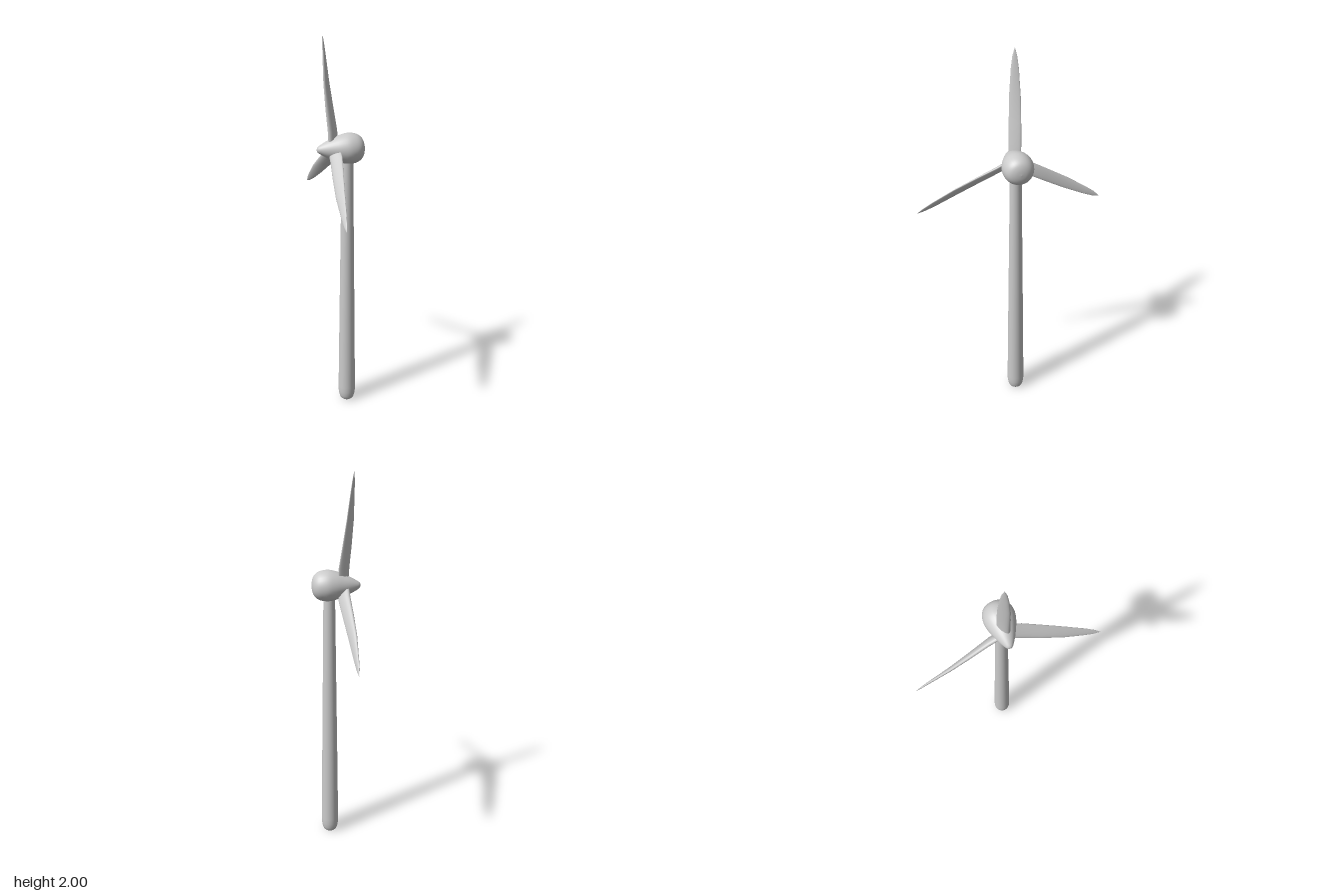
import * as THREE from 'three';

const material = new THREE.MeshStandardMaterial({ color: 0xcccccc, roughness: 0.8 });
const HUB_Y = 1.44, HUB_Z = -0.012;

// Smooth solid of revolution from a few [radius, height] points
function lathe(points, name, smooth) {
  let pts = points.map(([r, y]) => new THREE.Vector2(r, y));
  if (smooth) pts = new THREE.SplineCurve(pts).getPoints(40);
  pts.forEach(p => { p.x = Math.max(0, p.x); });
  const mesh = new THREE.Mesh(new THREE.LatheGeometry(pts, 32), material);
  mesh.name = name;
  return mesh;
}

// Blade sections: [radius, centre x, centre z, half chord, half thickness, twist in degrees]
const SECTIONS = [
  [0.0, -0.035, -0.004, 0.034, 0.014, 42],
  [0.09, -0.038, -0.006, 0.036, 0.014, 43],
  [0.2, -0.052, -0.009, 0.034, 0.012, 48],
  [0.33, -0.067, -0.012, 0.030, 0.009, 54],
  [0.46, -0.077, -0.014, 0.020, 0.006, 61],
  [0.52, -0.082, -0.015, 0.012, 0.004, 63],
  [0.56, -0.085, -0.016, 0.0005, 0.0005, 63],
];

// Loft of twisted teardrop sections, pointing up from the hub centre
function bladeGeometry() {
  const sides = 20, pos = [], index = [];
  for (const [r, cx, cz, a, b, deg] of SECTIONS) {
    const t = THREE.MathUtils.degToRad(deg), c = Math.cos(t), s = Math.sin(t);
    for (let i = 0; i < sides; i++) {
      const p = (i / sides) * Math.PI * 2;
      const u = a * Math.cos(p);
      const v = b * Math.sin(p) * (1 - 0.3 * Math.cos(p));
      pos.push(cx + u * c + v * s, r, cz - u * s + v * c);
    }
  }
  for (let k = 0; k < SECTIONS.length - 1; k++) {
    for (let i = 0; i < sides; i++) {
      const j = (i + 1) % sides;
      const p = k * sides + i, q = k * sides + j;
      index.push(p, q, p + sides, q, q + sides, p + sides);
    }
  }
  // Correct winding: section runs from +x towards +z, so sides face outward when reversed
  for (let i = 0; i < index.length; i += 3) {
    [index[i + 1], index[i + 2]] = [index[i + 2], index[i + 1]];
  }
  const geo = new THREE.BufferGeometry();
  geo.setAttribute('position', new THREE.Float32BufferAttribute(pos, 3));
  geo.setIndex(index);
  geo.computeVertexNormals();
  return geo;
}

export function createModel() {
  const model = new THREE.Group();
  model.name = 'windTurbine';

  // Tapered tower with a rounded foot
  const tower = lathe([
    [0, 0], [0.028, 0], [0.036, 0.008], [0.042, 0.026], [0.0455, 0.05],
    [0.046, 0.08], [0.041, 0.5], [0.035, 0.95], [0.029, 1.42],
  ], 'tower', false);
  tower.position.set(0.034, 0, -0.004);
  model.add(tower);

  // Egg-shaped nacelle, nose towards -x
  const nacelle = lathe([
    [0, -0.123], [0.013, -0.118], [0.026, -0.1], [0.041, -0.073], [0.055, -0.042],
    [0.071, 0], [0.079, 0.04], [0.073, 0.08], [0.056, 0.106], [0.03, 0.119], [0, 0.123],
  ], 'nacelle', true);
  nacelle.rotation.z = -Math.PI / 2;
  nacelle.position.set(0, HUB_Y, HUB_Z);
  model.add(nacelle);

  // Three blades around the x axis
  const rotor = new THREE.Group();
  rotor.name = 'rotor';
  rotor.position.set(0, HUB_Y, HUB_Z);
  const geo = bladeGeometry();
  for (let i = 0; i < 3; i++) {
    const blade = new THREE.Mesh(geo, material);
    blade.name = `blade${i + 1}`;
    blade.rotation.x = (i * Math.PI * 2) / 3;
    rotor.add(blade);
  }
  model.add(rotor);
  return model;
}
